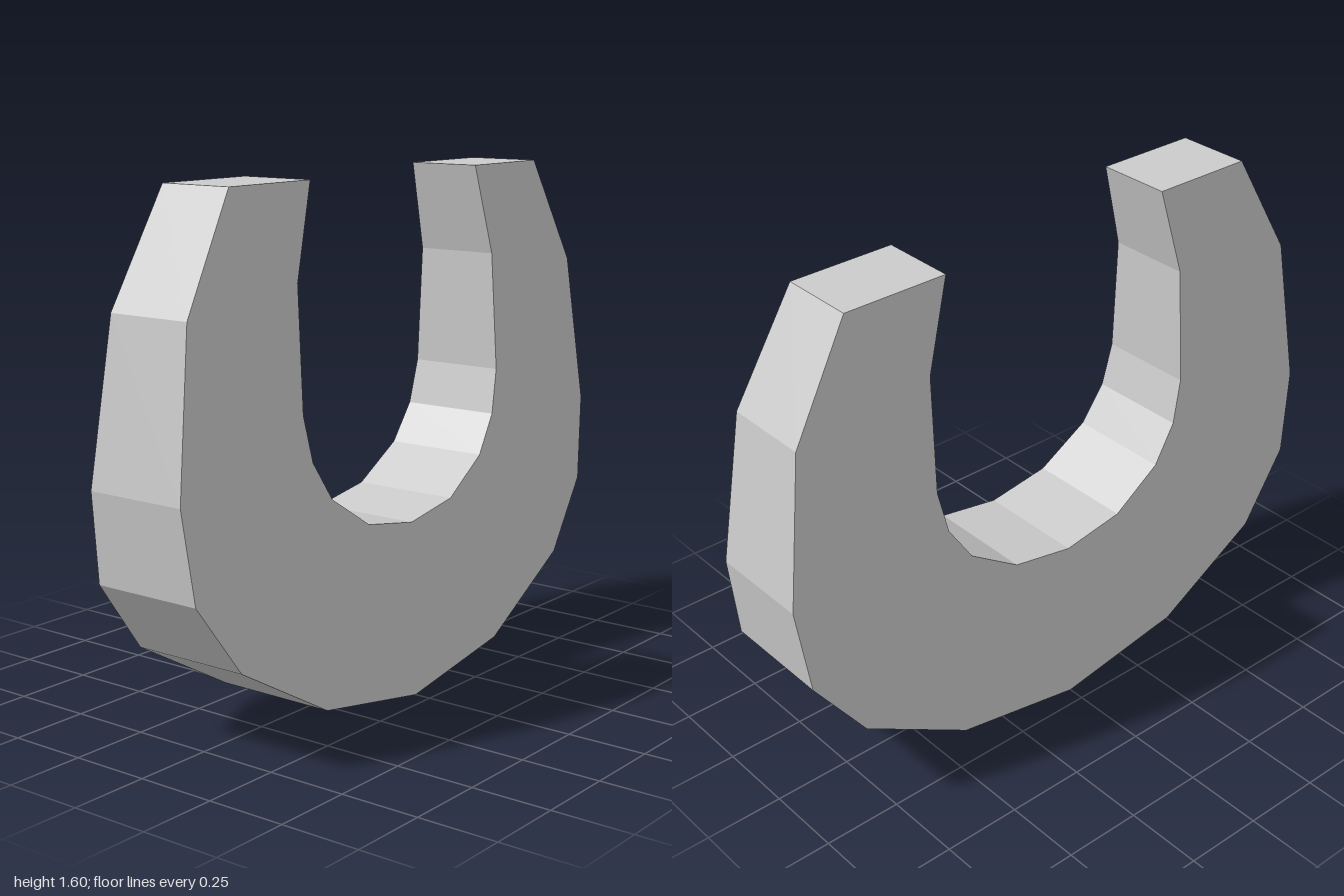
import * as THREE from 'three';

// Matching outer and inner outline points, from bottom centre up to the left tip
const OUTER = [[0, 0], [0.435, 0.075], [0.8, 0.285], [0.965, 0.51], [1, 0.785], [0.933, 1.265], [0.743, 1.6]];
const INNER = [[0, 0.547], [0.208, 0.582], [0.375, 0.69], [0.453, 0.81], [0.485, 0.95], [0.481, 1.32], [0.405, 1.6]];

// The body gets thinner towards the tips
const halfDepth = (y) => Math.min(0.197, 0.208 - 0.055 * y);

// Four-cornered cross-section: outer front, inner front, inner back, outer back
function section(i, side) {
  const [ox, oy] = OUTER[i];
  const [ix, iy] = INNER[i];
  const o = halfDepth(oy), n = halfDepth(iy);
  return [[side * ox, oy, o], [side * ix, iy, n], [side * ix, iy, -n], [side * ox, oy, -o]];
}

export function createModel() {
  const last = OUTER.length - 1;
  const rings = [];
  for (let i = -last; i <= last; i++) rings.push(section(Math.abs(i), i < 0 ? -1 : 1));

  const positions = [];
  const quad = (a, b, c, d) => positions.push(...a, ...b, ...c, ...a, ...c, ...d);

  // Four walls between neighbouring sections
  for (let i = 0; i < rings.length - 1; i++) {
    const A = rings[i], B = rings[i + 1];
    for (let k = 0; k < 4; k++) quad(A[k], B[k], B[(k + 1) % 4], A[(k + 1) % 4]);
  }
  // Flat tips
  quad(...rings[0]);
  quad(...[...rings[rings.length - 1]].reverse());

  const geometry = new THREE.BufferGeometry();
  geometry.setAttribute('position', new THREE.Float32BufferAttribute(positions, 3));
  geometry.computeVertexNormals();

  const body = new THREE.Mesh(geometry, new THREE.MeshStandardMaterial({ color: 0xcccccc, flatShading: true }));
  body.name = 'horseshoeBody';

  const model = new THREE.Group();
  model.name = 'horseshoe';
  model.add(body);
  return model;
}
